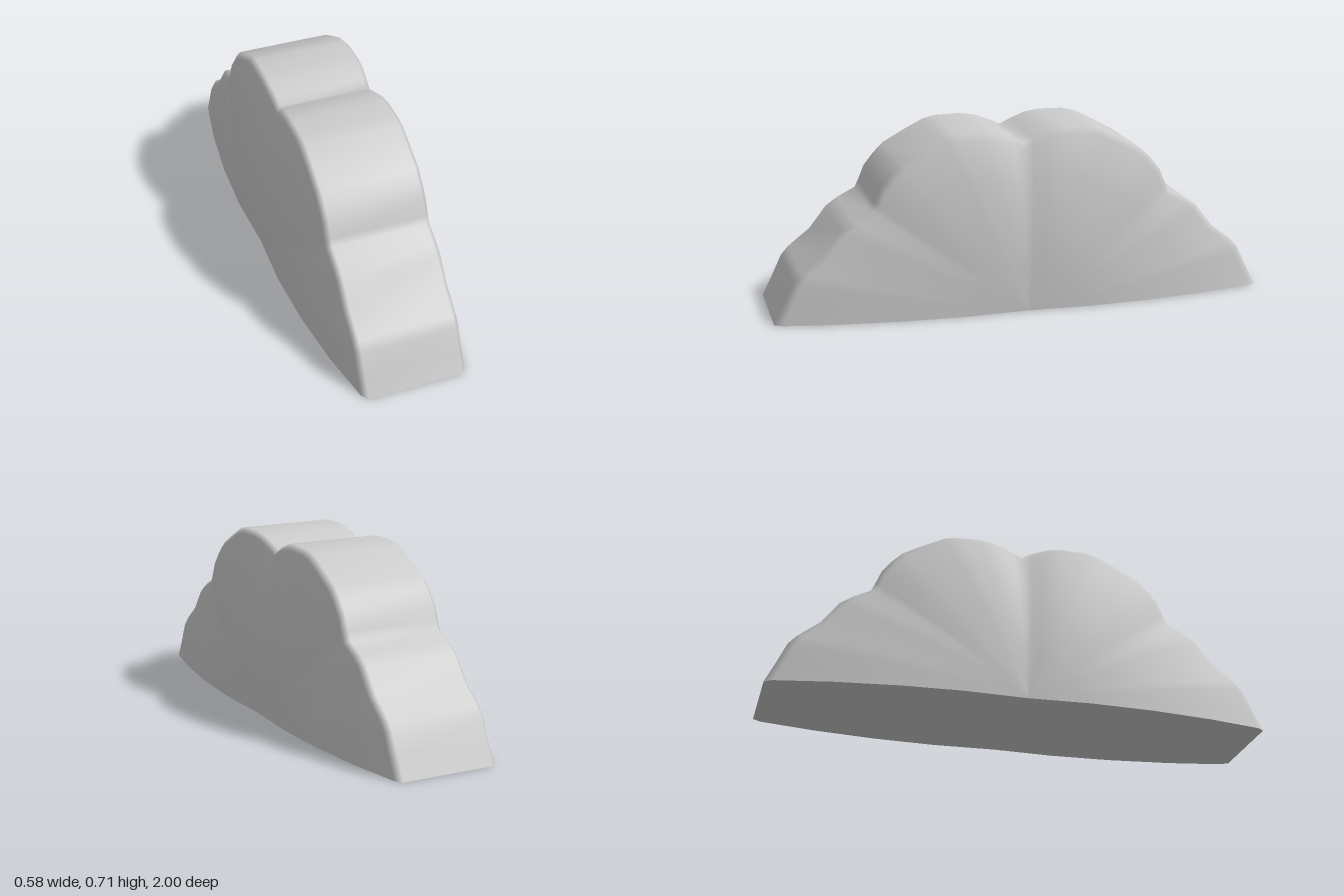
import * as THREE from 'three';

// Half of the cloud outline as [z, y], from the front foot to the middle notch
const half = [
  [1, 0], [0.96, 0.08], [0.92, 0.165], [0.89, 0.2], [0.8, 0.27], [0.73, 0.36],
  [0.68, 0.395], [0.61, 0.43], [0.595, 0.46], [0.57, 0.52], [0.53, 0.57],
  [0.49, 0.61], [0.4, 0.66], [0.32, 0.7], [0.27, 0.711], [0.17, 0.713],
  [0.11, 0.705], [0.04, 0.68], [0, 0.66],
];
const outline = [...half, ...half.slice(0, -1).reverse().map(([z, y]) => [-z, y])];

// Cross-section as [outline scale, x]: bulging side, rounded rim, then mirrored
const side = [[0, 0.29], [0.25, 0.29], [0.5, 0.28], [0.75, 0.252], [0.97, 0.211], [1, 0.19]];
const section = [...side.map(([s, x]) => [s, -x]), ...side.slice().reverse()];

// Point of the cloud surface, with a shallow waist below the notch
function point([z, y], [s, x]) {
  const waist = 0.01 * Math.exp(-((z * s / 0.08) ** 2));
  return [x - Math.sign(x) * waist, y * s, z * s];
}

function build(positions, index) {
  const g = new THREE.BufferGeometry();
  g.setAttribute('position', new THREE.Float32BufferAttribute(positions.flat(), 3));
  g.setIndex(index);
  g.computeVertexNormals();
  return g;
}

// Puffy top and both sides, smoothly shaded
function cloudGeometry() {
  const positions = [], index = [], n = section.length;
  outline.forEach((p, i) => section.forEach((c, j) => {
    positions.push(point(p, c));
    if (i === 0 || j === 0) return;
    const d = i * n + j, c0 = d - 1, b = d - n, a = b - 1;
    // the first and last strips shrink to a point at the centre
    if (j > 1) index.push(a, d, c0);
    if (j < n - 1) index.push(a, b, d);
    else index.push(a, b, c0);
  }));
  return build(positions, index);
}

// Flat underside as a fan around the centre
function baseGeometry() {
  const front = section.map(c => point(outline[0], c));
  const back = section.map(c => point(outline[outline.length - 1], c)).reverse();
  const rim = [...front, ...back.slice(1, -1)];
  const index = [];
  rim.forEach((_, i) => index.push(0, (i + 1) % rim.length + 1, i + 1));
  return build([[0, 0, 0], ...rim], index);
}

export function createModel() {
  const group = new THREE.Group();
  group.name = 'cloud';
  const material = new THREE.MeshStandardMaterial({ color: 0xcccccc });
  const parts = { cloudBody: cloudGeometry(), flatBase: baseGeometry() };
  for (const [name, geometry] of Object.entries(parts)) {
    const mesh = new THREE.Mesh(geometry, material);
    mesh.name = name;
    group.add(mesh);
  }
  return group;
}
